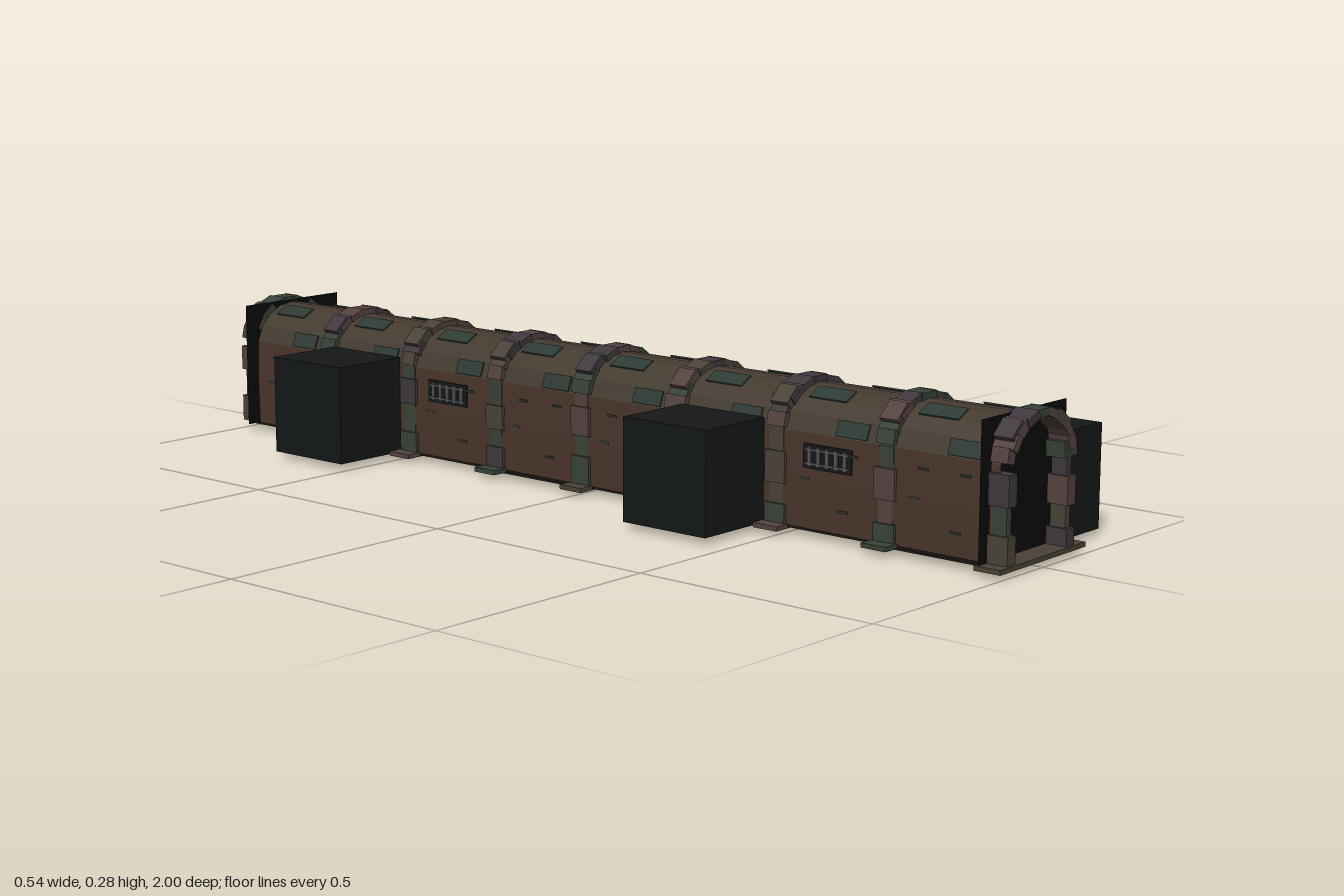
import * as THREE from 'three';

const mat = (color, side = THREE.FrontSide) =>
  new THREE.MeshStandardMaterial({ color, side, flatShading: true });
const wallMat = mat(0x49352a, THREE.DoubleSide);
const roofMat = mat(0x443a30, THREE.DoubleSide);
const plateMat = mat(0x2e3a34);
const darkMat = mat(0x141817);
const blackMat = mat(0x0b0b0b, THREE.DoubleSide);
const floorMat = mat(0x1c1816);
const greyMat = mat(0xcccccc);
const stoneMats = [0x4a4238, 0x384238, 0x54423f, 0x40383e].map((c) => mat(c));

// Small seeded number generator for the uneven stonework
let seed = 7;
const rand = () => (seed = (seed * 16807) % 2147483647) / 2147483647;

function add(parent, name, geometry, material, x = 0, y = 0, z = 0) {
  const mesh = new THREE.Mesh(geometry, material);
  mesh.name = name;
  mesh.position.set(x, y, z);
  parent.add(mesh);
  return mesh;
}
const box = (w, h, d) => new THREE.BoxGeometry(w, h, d);

// Half cross-section of the passage, from the wall foot to the crown
const SPRING = 0.195;
const half = [[0.098, 0.015], [0.1, 0.11], [0.098, SPRING], [0.085, 0.228], [0.062, 0.252], [0.033, 0.267], [0, 0.271]];

// Open sheet following the given profile points between two z positions
function sheet(points, z0, z1) {
  const g = new THREE.PlaneGeometry(1, 1, points.length - 1, 1);
  const p = g.attributes.position;
  points.forEach(([x, y], i) => {
    p.setXYZ(i, x, y, z0);
    p.setXYZ(i + points.length, x, y, z1);
  });
  g.computeVertexNormals();
  return g;
}

// One bay: two side walls, vaulted roof, raised plates and rivets
function bay(z0, z1) {
  const g = new THREE.Group();
  g.name = 'passageBay';
  const mid = (z0 + z1) / 2;
  const arc = half.slice(2);
  const roof = [...arc, ...arc.slice(0, -1).reverse().map(([x, y]) => [-x, y])];
  add(g, 'roof', sheet(roof, z0, z1), roofMat);
  for (const s of [1, -1]) {
    add(g, 'wall', sheet(half.slice(0, 3).map(([x, y]) => [s * x, y]), z0, z1), wallMat);
    // raised sheets on the roof slope
    const slope = add(g, 'roofPlate', box(0.034, 0.003, 0.085), plateMat, s * 0.049, 0.262, mid + s * 0.035);
    slope.rotation.z = -s * 0.47;
    const eave = add(g, 'eavePlate', box(0.03, 0.003, 0.07), plateMat, s * 0.093, 0.212, mid - s * 0.045);
    eave.rotation.z = -s * 1.2;
    // short bars on the wall
    for (const [y, dz] of [[0.165, 0.05], [0.165, -0.04], [0.11, -0.06], [0.06, 0.03]]) {
      add(g, 'wallBar', box(0.003, 0.004, 0.022), plateMat, s * 0.1, y, mid + dz);
    }
  }
  return g;
}

// Rough stone rib around the passage
const archLine = [[0.094, 0.2], [0.089, 0.222], [0.076, 0.243], [0.05, 0.263], [0.02, 0.275]];
function rib(z) {
  const g = new THREE.Group();
  g.name = 'stoneRib';
  const stone = () => stoneMats[Math.floor(rand() * 4)];
  for (const s of [1, -1]) {
    // stacked jamb stones, alternating thick and thin
    let y = 0.018;
    for (let i = 0; y < 0.18; i++) {
      const h = Math.min(0.035 + rand() * 0.025, 0.203 - y);
      const thick = i % 2 ? 0.014 : 0.025;
      add(g, 'jambStone', box(thick, h, i % 2 ? 0.032 : 0.046), stone(), s * 0.093, y + h / 2, z);
      y += h;
    }
    // arch stones laid along the curve
    for (let i = 0; i < archLine.length - 1; i++) {
      const [a, b] = [archLine[i], archLine[i + 1]];
      const thick = i % 2 ? 0.016 : 0.022;
      const m = add(g, 'archStone', box(Math.hypot(b[0] - a[0], b[1] - a[1]) + 0.005, thick, 0.034 + rand() * 0.016),
        stone(), s * (a[0] + b[0]) / 2, (a[1] + b[1]) / 2, z);
      m.rotation.z = s * Math.atan2(b[1] - a[1], b[0] - a[0]);
    }
  }
  add(g, 'keystone', box(0.044, 0.014, 0.042), stone(), 0, 0.275, z);
  const cap = add(g, 'springStone', box(0.04, 0.03, 0.04), stone(), 0.092, 0.198, z);
  cap.rotation.z = 0.06;
  const skew = add(g, 'shoulderStone', box(0.042, 0.03, 0.04), stone(), -0.07, 0.247, z);
  skew.rotation.z = 0.75;
  return g;
}

// Shallow faceted basin whose underside tapers to a flat bottom
function basin(z) {
  const g = new THREE.Group();
  g.name = 'floorBasin';
  const taper = (h, wTop, wBottom, dTop, dBottom) => {
    const b = box(1, h, 1);
    const p = b.attributes.position;
    for (let i = 0; i < p.count; i++) {
      const top = p.getY(i) > 0;
      p.setX(i, p.getX(i) * (top ? wTop : wBottom));
      p.setZ(i, p.getZ(i) * (top ? dTop : dBottom));
    }
    b.computeVertexNormals();
    return b;
  };
  add(g, 'basinRim', taper(0.004, 0.22, 0.16, 0.21, 0.19), floorMat, 0, 0.0105, z);
  add(g, 'basinSide', taper(0.0055, 0.16, 0.13, 0.185, 0.18), greyMat, 0, 0.006, z);
  add(g, 'basinBottom', taper(0.0035, 0.13, 0.07, 0.18, 0.16), greyMat, 0, 0.00175, z);
  return g;
}

// Barred vent on a wall
function vent(s, z) {
  const g = new THREE.Group();
  g.name = 'wallVent';
  add(g, 'ventBack', box(0.003, 0.046, 0.11), darkMat, s * 0.1, 0.153, z);
  for (let i = 0; i < 5; i++) {
    add(g, 'ventBar', box(0.004, 0.036, 0.008), greyMatDark, s * 0.102, 0.153, z - 0.04 + i * 0.02);
  }
  for (const y of [0.14, 0.166]) add(g, 'ventRail', box(0.004, 0.004, 0.1), greyMatDark, s * 0.103, y, z);
  return g;
}
const greyMatDark = mat(0x55555a);

export function createModel() {
  const model = new THREE.Group();
  model.name = 'vaultedPassage';
  seed = 7;

  // Floor
  add(model, 'floor', box(0.2, 0.004, 1.95), floorMat, 0, 0.015, 0);

  // Ribs, footing slabs and the bays between them
  const ribs = [0.972, 0.73, 0.482, 0.238, -0.003, -0.235, -0.482, -0.725, -0.975];
  ribs.forEach((z, i) => {
    model.add(rib(z));
    if (i < 8) {
      const slab = add(model, 'footingSlab', box(0.27, 0.009, 0.055), stoneMats[i % 4], i % 2 ? 0 : 0.002, 0.0155, z);
      slab.rotation.z = i % 2 ? -0.008 : 0.008;
      model.add(bay(ribs[i + 1], z));
    }
  });

  // Side chambers, alternating left and right, each with a vent further along
  const chambers = [[1, 0.845], [-1, 0.355], [1, -0.118], [-1, -0.607]];
  for (const [s, z] of chambers) {
    add(model, 'sideChamber', box(0.169, 0.199, 0.197), darkMat, s * 0.1855, 0.1125, z);
    model.add(basin(z));
  }
  for (const [s, z] of [[1, 0.11], [1, -0.845], [-1, -0.37], [-1, 0.6]]) model.add(vent(s, z));

  // Dark screens closing both ends
  for (const z of [0.952, -0.952]) {
    add(model, 'endScreen', new THREE.PlaneGeometry(0.266, 0.26), blackMat, 0.002, 0.147, z);
  }
  return model;
}
